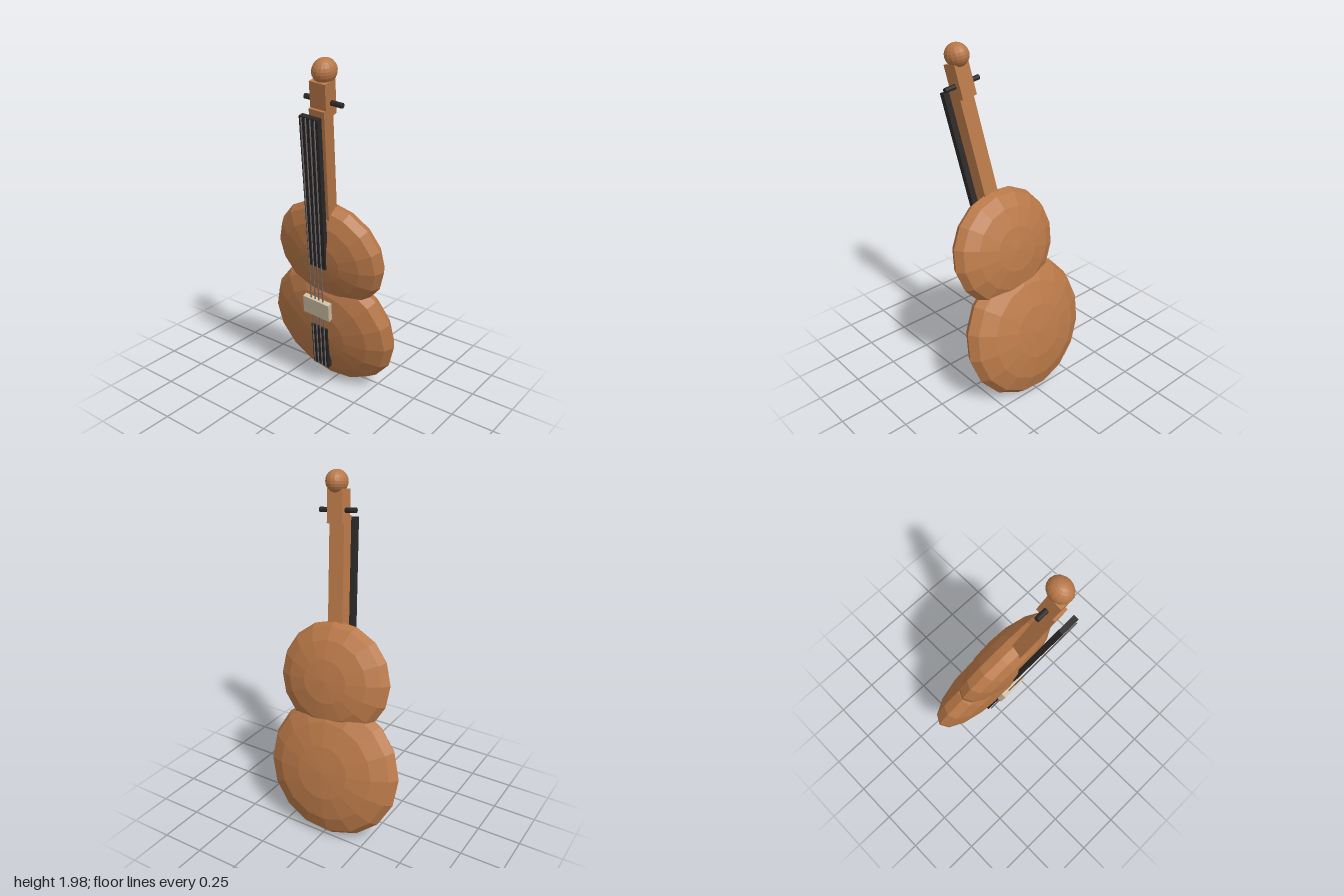
import * as THREE from 'three';

export function createModel() {
  const mat = (color) => new THREE.MeshStandardMaterial({ color, flatShading: true });
  const wood = mat(0xb87848);
  const ebony = mat(0x2c2828);
  const bone = mat(0xcfc0a4);
  const steel = mat(0x777070);

  // The instrument is laid out upright around the lower bout, then leaned as a whole
  const violin = new THREE.Group();
  violin.name = 'violin';
  violin.position.set(0, 0.4, -0.137);
  violin.rotation.set(0.22, 0.022, -0.11);

  const add = (name, geometry, material, x, y, z) => {
    const mesh = new THREE.Mesh(geometry, material);
    mesh.name = name;
    mesh.position.set(x, y, z);
    violin.add(mesh);
    return mesh;
  };

  // Flattened sphere with its poles on the front and back
  const bout = (name, y, rx, ry, rz) => {
    const g = new THREE.SphereGeometry(1, 16, 8).rotateX(Math.PI / 2).scale(rx, ry, rz);
    add(name, g, wood, 0, y, 0);
  };
  bout('lowerBout', 0, 0.41, 0.402, 0.14);
  bout('upperBout', 0.515, 0.342, 0.322, 0.125);

  // Box spanning y0..y1 and z0..z1, centred across the width
  const slab = (name, material, width, y0, y1, z0, z1) =>
    add(name, new THREE.BoxGeometry(width, y1 - y0, z1 - z0), material, 0, (y0 + y1) / 2, (z0 + z1) / 2);
  slab('neck', wood, 0.09, 0.72, 1.4, -0.01, 0.065);
  slab('headstock', wood, 0.092, 1.355, 1.535, -0.036, 0.05);
  slab('fingerboard', ebony, 0.11, 0.497, 1.39, 0.102, 0.132);
  slab('tailpiece', ebony, 0.108, -0.235, 0.07, 0.115, 0.145);
  slab('bridge', bone, 0.172, 0.163, 0.278, 0.134, 0.164);

  // Scroll knob on top of the headstock
  add('scroll', new THREE.SphereGeometry(1, 16, 12).scale(0.06, 0.062, 0.069), wood, 0, 1.572, -0.015);

  // Tuning pegs, one on each side
  for (const side of [-1, 1]) {
    const peg = new THREE.CylinderGeometry(0.014, 0.014, 0.09, 8).rotateZ(Math.PI / 2);
    add(side > 0 ? 'leftPeg' : 'rightPeg', peg, ebony, side * 0.066, 1.425, 0.002);
  }

  // Four strings from the top of the fingerboard to the tailpiece
  for (let i = 0; i < 4; i++) {
    const x = (i - 1.5) * 0.026;
    const path = new THREE.LineCurve3(new THREE.Vector3(x, -0.22, 0.154), new THREE.Vector3(x, 1.39, 0.137));
    add('string' + (i + 1), new THREE.TubeGeometry(path, 1, 0.004, 6), steel, 0, 0, 0);
  }

  const model = new THREE.Group();
  model.name = 'model';
  model.add(violin);
  return model;
}
